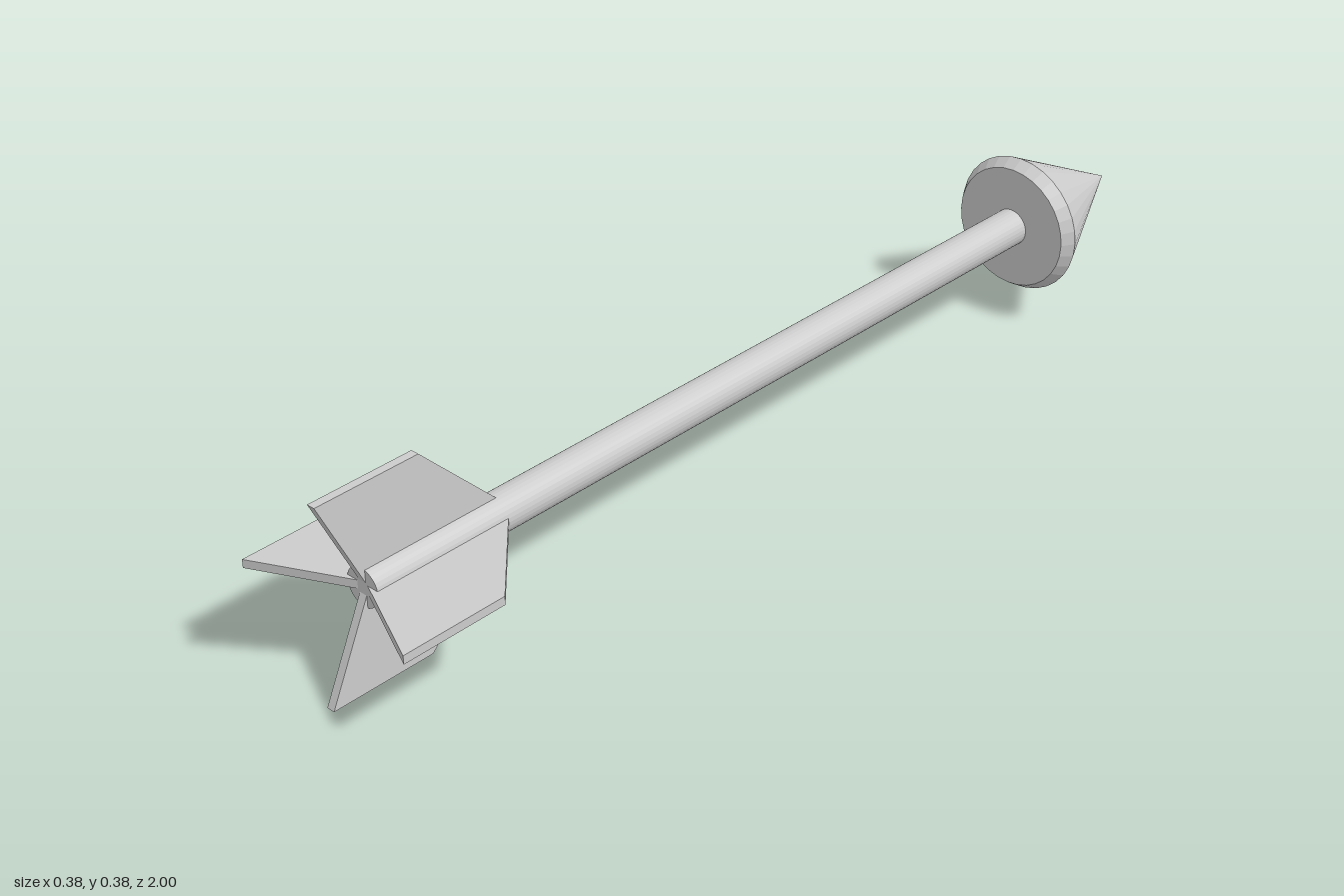
import * as THREE from 'three';

const material = new THREE.MeshStandardMaterial({ color: 0xcccccc, flatShading: true });
const SIDES = 32;

// Round section along z, from zBack (radius rBack) to zFront (radius rFront, nearer the tip)
function section(name, rFront, rBack, zFront, zBack, open = false) {
  const geometry = new THREE.CylinderGeometry(rFront, rBack, zBack - zFront, SIDES, 1, open);
  geometry.rotateX(-Math.PI / 2);
  geometry.translate(0, 0, (zFront + zBack) / 2);
  const mesh = new THREE.Mesh(geometry, material);
  mesh.name = name;
  return mesh;
}

export function createModel() {
  const arrow = new THREE.Group();
  arrow.name = 'arrow';
  arrow.position.y = 0.1875;

  // Shaft
  arrow.add(section('shaft', 0.036, 0.036, -0.72, 0.917));

  // Head: long cone with a bevelled rear rim
  const head = new THREE.Group();
  head.name = 'arrowhead';
  const cone = new THREE.ConeGeometry(0.135, 0.273, SIDES, 1, true);
  cone.rotateX(-Math.PI / 2);
  cone.translate(0, 0, -0.8635);
  const point = new THREE.Mesh(cone, material);
  point.name = 'headPoint';
  head.add(point, section('headRim', 0.135, 0.12, -0.727, -0.703));
  arrow.add(head);

  // Four swept fins: outline as (z, radius), extruded to thickness
  const outline = [[0.621, 0.012], [0.795, 0.1875], [1, 0.1875], [0.917, 0.012]];
  const thickness = 0.016;
  const finShape = new THREE.Shape(outline.map(([z, r]) => new THREE.Vector2(z, r)));
  const finGeometry = new THREE.ExtrudeGeometry(finShape, { depth: thickness, bevelEnabled: false });
  finGeometry.translate(0, 0, -thickness / 2);
  finGeometry.rotateY(-Math.PI / 2);
  ['topFin', 'leftFin', 'bottomFin', 'rightFin'].forEach((name, i) => {
    const fin = new THREE.Mesh(finGeometry, material);
    fin.name = name;
    fin.rotation.z = -i * Math.PI / 2;
    arrow.add(fin);
  });

  const model = new THREE.Group();
  model.add(arrow);
  return model;
}
